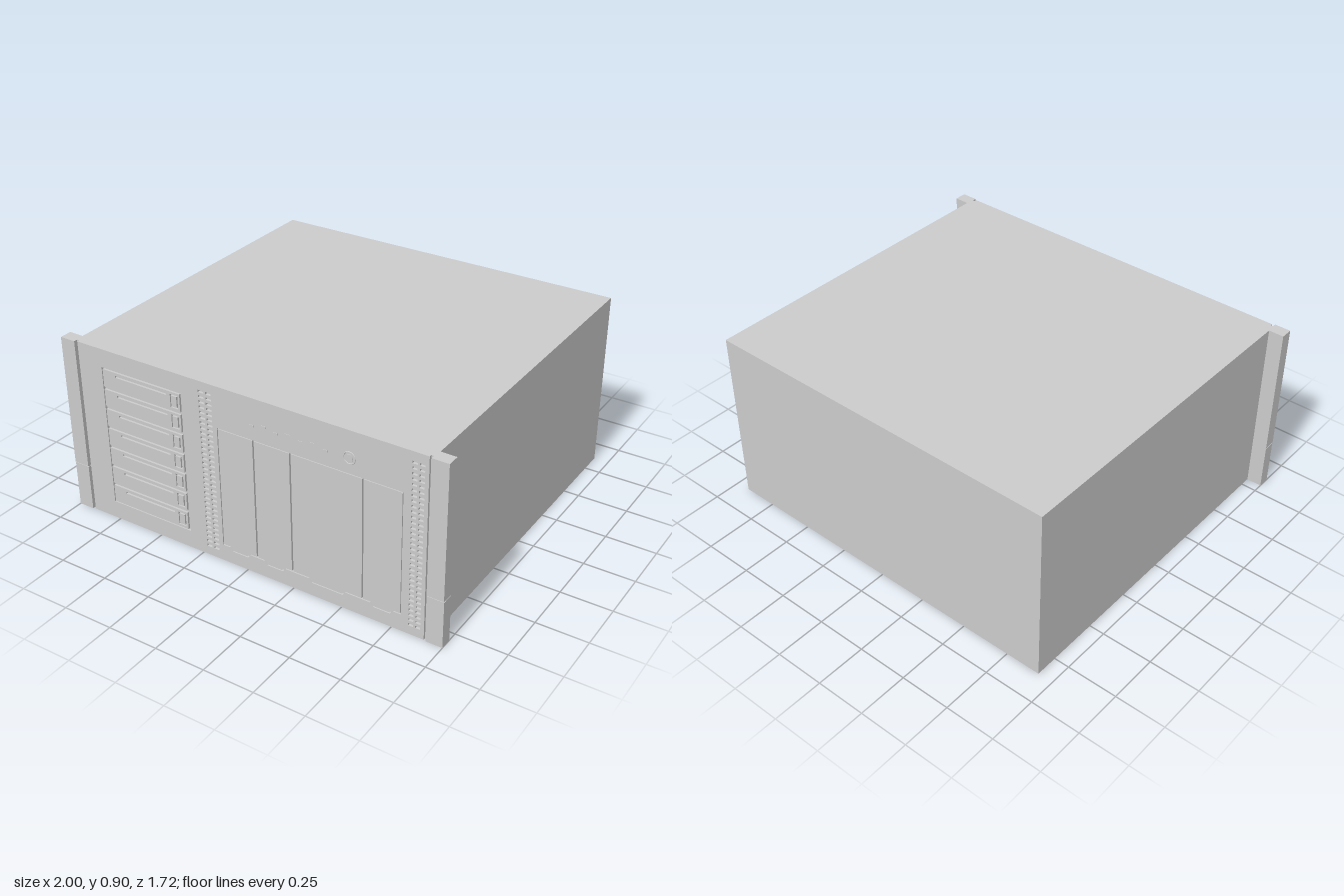
import * as THREE from 'three';

const mat = new THREE.MeshStandardMaterial({ color: 0xcccccc, flatShading: true });
const BACK = 0.842, FACE = 0.854; // recess floor and front surface

export function createModel() {
  const group = new THREE.Group();

  const add = (name, geometry, parent = group) => {
    const mesh = new THREE.Mesh(geometry, mat);
    mesh.name = name;
    parent.add(mesh);
    return mesh;
  };
  const box = (name, x0, x1, y0, y1, z0, z1, parent) => {
    const g = new THREE.BoxGeometry(x1 - x0, y1 - y0, z1 - z0);
    g.translate((x0 + x1) / 2, (y0 + y1) / 2, (z0 + z1) / 2);
    return add(name, g, parent);
  };
  const plate = (name, shape, z0, z1, parent) => {
    const g = new THREE.ExtrudeGeometry(shape, { depth: z1 - z0, bevelEnabled: false });
    g.translate(0, 0, z0);
    return add(name, g, parent);
  };
  const polygon = (pts) => new THREE.Shape(pts.map(([x, y]) => new THREE.Vector2(x, y)));
  const rect = (x0, x1, y0, y1) => polygon([[x0, y0], [x1, y0], [x1, y1], [x0, y1]]);

  // Main case
  box('chassis', -0.925, 0.925, 0, 0.9, -0.862, BACK);

  // Front panel with its openings
  const panel = rect(-0.908, 0.908, 0, 0.9);
  const bay = { x0: -0.775, x1: -0.32, y0: 0.09, y1: 0.808 };
  panel.holes.push(rect(bay.x0, bay.x1, bay.y0, bay.y1));

  // Vent columns: short slots stacked in pairs
  const rows = 32;
  for (const [x, w] of [[-0.228, 0.03], [-0.188, 0.03], [0.832, 0.024], [0.866, 0.024]]) {
    for (let i = 0; i < rows; i++) {
      const y = 0.05 + (i * 0.8) / (rows - 1);
      panel.holes.push(rect(x, x + w, y - 0.006, y + 0.006));
    }
  }

  // Door opening whose lower edge has a finger tab under each door
  const doorEdges = [-0.135, 0.055, 0.245, 0.605, 0.795];
  const doorY0 = 0.085, doorY1 = 0.695, gap = 0.004;
  const lowerEdge = (x0, x1, inset) => {
    const c = (x0 + x1) / 2, w = (x1 - x0) * 0.22;
    const y = doorY0 + inset;
    return [[x0 + inset, y], [c - w - 0.015 + inset, y], [c - w + inset, y - 0.018],
      [c + w - inset, y - 0.018], [c + w + 0.015 - inset, y], [x1 - inset, y]];
  };
  const opening = [];
  for (let i = 0; i < 4; i++) {
    const edge = lowerEdge(doorEdges[i], doorEdges[i + 1], 0);
    opening.push(...(i < 3 ? edge.slice(0, -1) : edge));
  }
  opening.push([doorEdges[4], doorY1], [doorEdges[0], doorY1]);
  panel.holes.push(polygon(opening));
  plate('frontPanel', panel, BACK, FACE);

  // Doors
  for (let i = 0; i < 4; i++) {
    const x0 = doorEdges[i], x1 = doorEdges[i + 1];
    const pts = lowerEdge(x0, x1, gap);
    pts.push([x1 - gap, doorY1 - gap], [x0 + gap, doorY1 - gap]);
    plate('driveDoor', polygon(pts), BACK, FACE - 0.001);
  }

  // Seven hot-swap trays with a slot and a latch each
  const pitch = (bay.y1 - bay.y0) / 7;
  for (let i = 0; i < 7; i++) {
    const tray = new THREE.Group();
    tray.name = 'driveTray';
    group.add(tray);
    const y0 = bay.y0 + i * pitch + 0.003, y1 = bay.y0 + (i + 1) * pitch - 0.01;
    const face = rect(bay.x0 + 0.003, -0.335, y0, y1);
    face.holes.push(rect(-0.7, -0.41, y1 - 0.024, y1 - 0.014));
    face.holes.push(rect(-0.388, -0.346, y0 + 0.012, y1 - 0.012));
    plate('trayFace', face, BACK, FACE - 0.002, tray);
    box('trayLatch', -0.382, -0.352, y0 + 0.018, y1 - 0.018, BACK, FACE - 0.001, tray);
  }

  // Indicator lights and buttons along the top
  for (let i = 0; i < 7; i++) {
    const x = 0.05 + i * 0.062;
    const y = 0.77 + (i % 2 ? 0.008 : -0.004);
    box('indicator', x - 0.012, x + 0.012, y - 0.005, y + 0.005, BACK, FACE + 0.002);
  }
  const button = new THREE.CylinderGeometry(0.018, 0.018, 0.006, 24);
  button.rotateX(Math.PI / 2);
  button.translate(0.54, 0.77, FACE);
  add('powerButton', button);
  const ring = new THREE.TorusGeometry(0.028, 0.003, 6, 28);
  ring.translate(0.54, 0.77, FACE);
  add('powerButtonRing', ring);

  // Rack ears: lower block and slightly prouder upper block
  for (const s of [-1, 1]) {
    const ear = new THREE.Group();
    ear.name = s > 0 ? 'leftEar' : 'rightEar';
    group.add(ear);
    const [a, b] = s > 0 ? [0.92, 1] : [-1, -0.92];
    box('earLower', a, b, 0, 0.235, 0.8, 0.859, ear);
    box('earJoint', a + 0.002, b - 0.002, 0.235, 0.239, 0.8, 0.854, ear);
    box('earUpper', a, b, 0.239, 0.9, 0.8, 0.861, ear);
  }
  return group;
}
